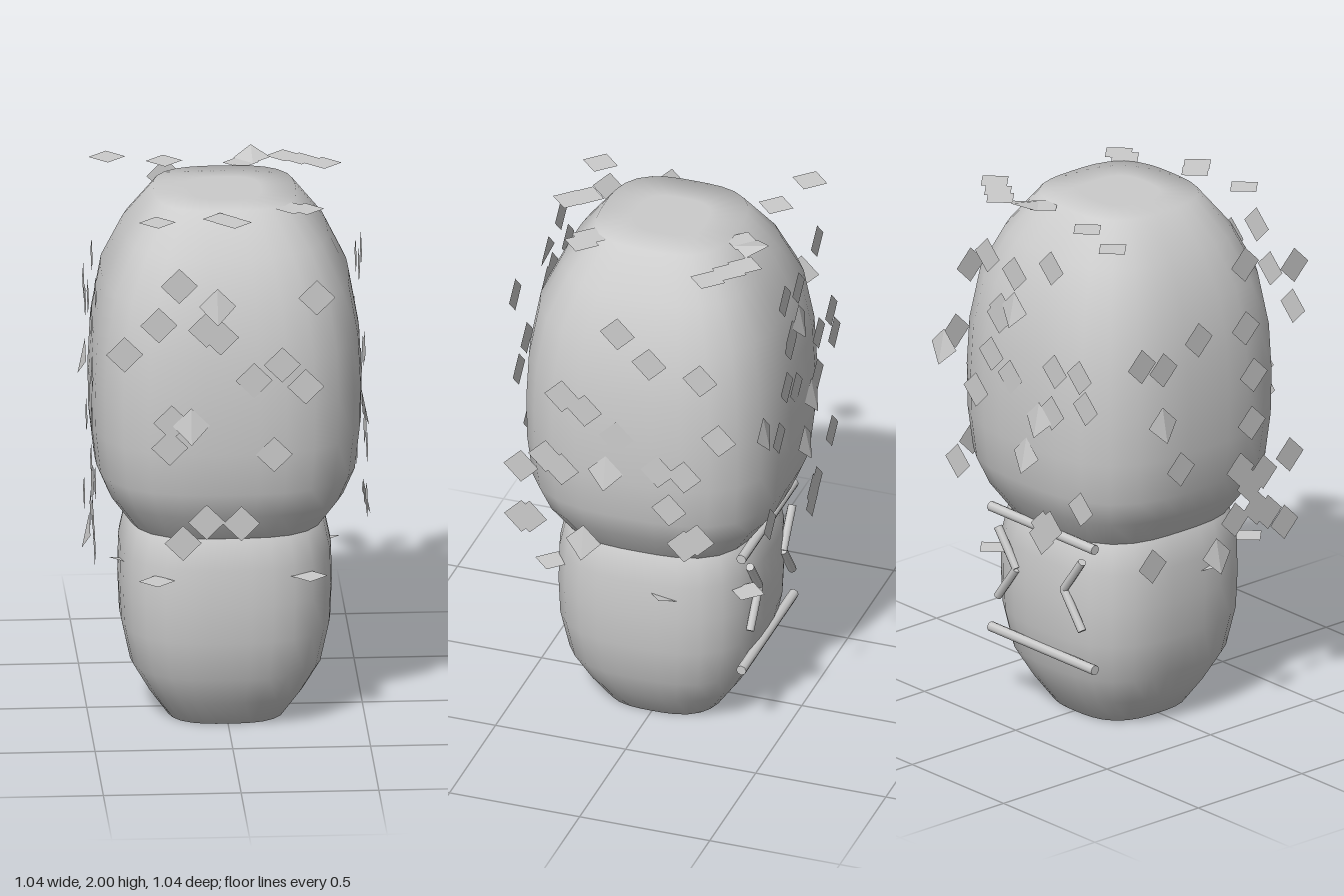
import * as THREE from 'three';
import { mergeVertices } from 'three/addons/utils/BufferGeometryUtils.js';

const smooth = new THREE.MeshStandardMaterial({ color: 0xcccccc });
const thin = new THREE.MeshStandardMaterial({ color: 0xcccccc, flatShading: true, side: THREE.DoubleSide });

// Rounded-square body: a lathe whose rings are pushed out into superellipses
function lobe(name, profile, power) {
  const pts = profile.map(([y, r]) => new THREE.Vector2(r, y));
  let geo = new THREE.LatheGeometry(pts, 32);
  const p = geo.attributes.position;
  for (let i = 0; i < p.count; i++) {
    const x = p.getX(i), z = p.getZ(i), r = Math.hypot(x, z);
    if (r < 1e-5) continue;
    const k = 1 / Math.pow(Math.abs(x / r) ** power + Math.abs(z / r) ** power, 1 / power);
    p.setX(i, x * k);
    p.setZ(i, z * k);
  }
  geo.deleteAttribute('uv');
  geo.deleteAttribute('normal');
  geo = mergeVertices(geo, 1e-4);
  geo.computeVertexNormals();
  const mesh = new THREE.Mesh(geo, smooth);
  mesh.name = name;
  return mesh;
}

// Small diamond spine; a folded one has its lower tip lifted outward
function diamond(lift) {
  const h = 0.067;
  const geo = new THREE.BufferGeometry();
  geo.setAttribute('position', new THREE.Float32BufferAttribute(
    [0, -h, lift, h, 0, 0, 0, h, 0, -h, 0, 0], 3));
  geo.setIndex([0, 1, 2, 0, 2, 3]);
  geo.computeVertexNormals();
  return geo;
}

// Seeded numbers between -1 and 1
function seeded(seed) {
  let s = seed;
  return () => {
    s = (s * 16807) % 2147483647;
    return (s / 2147483647) * 2 - 1;
  };
}

// Spines float on the six sides of a box around the upper body.
// turn and pos place the side, count flat spines are scattered outside the
// clear radius, and folded spines sit at [across, up] from the side's centre.
const MID = 1.29, OUT = 0.493, Q = Math.PI / 2;
const SIDES = [
  { name: 'frontSpines', turn: [0, 0, 0], pos: [0, MID, OUT], height: 0.57, count: 15, clear: 0,
    folded: [[-0.055, 0.4], [-0.15, -0.055]] },
  { name: 'leftSpines', turn: [0, Q, 0], pos: [OUT, MID, 0], height: 0.57, count: 17, clear: 0,
    folded: [[-0.08, -0.135], [-0.165, -0.445]] },
  { name: 'backSpines', turn: [0, 2 * Q, 0], pos: [0, MID, -OUT], height: 0.57, count: 17, clear: 0,
    folded: [[-0.4, 0.09], [-0.015, 0.35], [0.12, -0.04], [0.05, -0.2]] },
  { name: 'rightSpines', turn: [0, -Q, 0], pos: [-OUT, MID, 0], height: 0.57, count: 18, clear: 0,
    folded: [[-0.225, -0.02], [0.035, -0.6]] },
  { name: 'topSpines', turn: [-Q, 0, 2 * Q], pos: [0, 1.973, 0], height: 0.42, count: 11, clear: 0.3,
    folded: [[-0.12, -0.35]] },
  { name: 'undersideSpines', turn: [Q, 0, 0], pos: [0, 0.607, 0], height: 0.42, count: 3, clear: 0.45,
    folded: [[0.36, -0.1], [-0.36, 0.1]] },
];

function spineSide({ name, turn, pos, height, count, clear, folded }, rand, flatGeo, foldedGeo) {
  const group = new THREE.Group();
  group.name = name;
  group.rotation.set(...turn);
  group.position.set(...pos);
  const add = (geo, u, v) => {
    const spine = new THREE.Mesh(geo, thin);
    spine.name = 'spine';
    spine.position.set(u, v, 0);
    group.add(spine);
  };
  for (const [u, v] of folded) add(foldedGeo, u, v);
  for (let n = 0; n < count;) {
    const u = rand() * 0.42, v = rand() * height;
    if (Math.hypot(u, v) < clear) continue;
    add(flatGeo, u, v);
    n++;
  }
  return group;
}

// Thin round rod between two points
function rod(name, a, b, radius) {
  const start = new THREE.Vector3(...a), end = new THREE.Vector3(...b);
  const dir = end.clone().sub(start);
  const mesh = new THREE.Mesh(new THREE.CylinderGeometry(radius, radius, dir.length(), 8), smooth);
  mesh.name = name;
  mesh.position.lerpVectors(start, end, 0.5);
  mesh.quaternion.setFromUnitVectors(new THREE.Vector3(0, 1, 0), dir.normalize());
  return mesh;
}

export function createModel() {
  const model = new THREE.Group();
  model.name = 'cactus';

  // Lower and upper bodies
  model.add(lobe('lowerBody', [[0, 0], [0, 0.11], [0, 0.215], [0.1, 0.285], [0.21, 0.348], [0.36, 0.38],
    [0.5, 0.386], [0.64, 0.383], [0.75, 0.36], [0.85, 0.29], [0.95, 0.2], [0.95, 0]], 2.9));
  model.add(lobe('upperBody', [[0.605, 0], [0.605, 0.25], [0.76, 0.36], [0.86, 0.43],
    [0.96, 0.472], [1.12, 0.49], [1.29, 0.493], [1.47, 0.484], [1.67, 0.448], [1.83, 0.37],
    [1.975, 0.258], [1.975, 0.13], [1.975, 0]], 3));

  // Spines
  const rand = seeded(4217), flatGeo = diamond(0), foldedGeo = diamond(0.027);
  for (const side of SIDES) model.add(spineSide(side, rand, flatGeo, foldedGeo));

  // Face on the back: two long bars and a pair of squinting eyes
  const face = new THREE.Group();
  face.name = 'face';
  for (const y of [0.755, 0.285]) face.add(rod('bar', [-0.285, y, -0.368], [0.285, y, -0.368], 0.019));
  for (const s of [-1, 1]) {
    const eye = new THREE.Group();
    eye.name = s > 0 ? 'leftEye' : 'rightEye';
    for (const y of [0.695, 0.425]) {
      eye.add(rod('eyeStroke', [s * 0.13, 0.56, -0.382], [s * 0.23, y, -0.382], 0.016));
    }
    face.add(eye);
  }
  model.add(face);
  return model;
}
